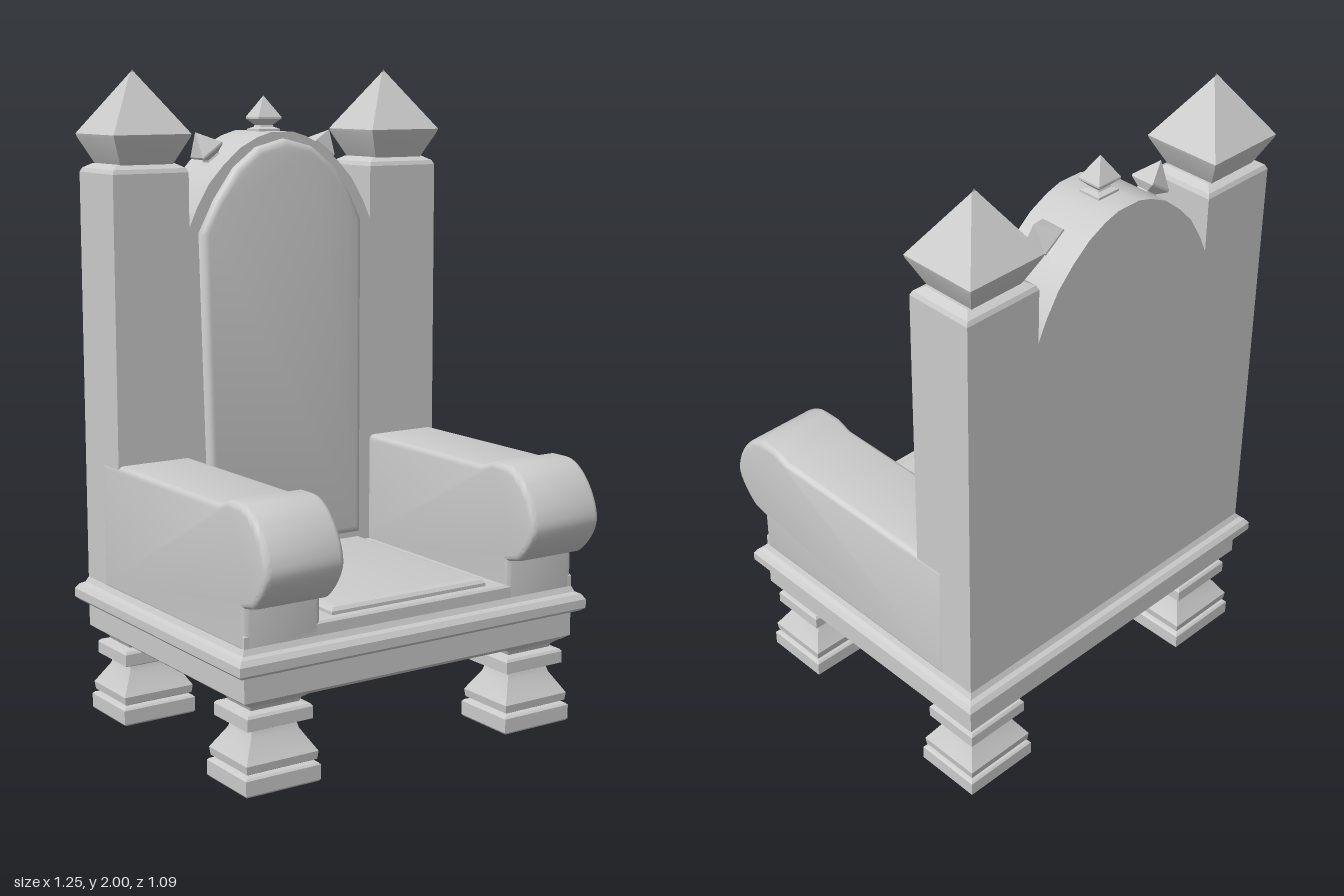
import * as THREE from 'three';
import { toCreasedNormals } from 'three/addons/utils/BufferGeometryUtils.js';

const material = new THREE.MeshStandardMaterial({ color: 0xcccccc });

function add(parent, name, geometry, x = 0, y = 0, z = 0) {
  const mesh = new THREE.Mesh(geometry, material);
  mesh.name = name;
  mesh.position.set(x, y, z);
  parent.add(mesh);
  return mesh;
}

// Rectangular moulding: rows of [inset or outset, height] around a half width and half depth, closed at both ends
function moulding(hx, hz, rows) {
  const closed = [[-9, rows[0][1]], ...rows, [-9, rows.at(-1)[1]]];
  const geo = new THREE.LatheGeometry(closed.map(([, y]) => new THREE.Vector2(1, y)), 4, Math.PI / 4);
  const pos = geo.attributes.position;
  for (let i = 0; i < pos.count; i++) {
    const o = closed[i % closed.length][0];
    pos.setX(i, Math.sign(pos.getX(i)) * Math.max(0, hx + o));
    pos.setZ(i, Math.sign(pos.getZ(i)) * Math.max(0, hz + o));
  }
  return toCreasedNormals(geo, 0.3);
}

// Outline extruded from z = 0 to z = depth, with bevels kept inside the outline
function slab(shape, depth, bevel = 0, segments = 2) {
  const geo = new THREE.ExtrudeGeometry(shape, {
    depth: depth - 2 * bevel, bevelEnabled: bevel > 0, bevelThickness: bevel,
    bevelSize: bevel, bevelOffset: -bevel, bevelSegments: segments, curveSegments: 12,
  });
  geo.translate(0, 0, bevel);
  return toCreasedNormals(geo, 0.6);
}

const shapeOf = (points) => new THREE.Shape(points.map(([x, y]) => new THREE.Vector2(x, y)));

export function createModel() {
  const throne = new THREE.Group();
  throne.name = 'throne';

  // Seat base with a raised trim running round it
  add(throne, 'seatBase', moulding(0.59, 0.467, [
    [-0.02, 0.26], [0, 0.275], [0, 0.35], [0.022, 0.355], [0.033, 0.365], [0.033, 0.392],
    [0.022, 0.408], [0.008, 0.415], [0, 0.432], [0, 0.465], [-0.006, 0.472],
  ]), 0, 0, -0.043);

  // Cushion
  add(throne, 'cushion', moulding(0.278, 0.335, [
    [0, 0.46], [0, 0.482], [-0.008, 0.492], [-0.025, 0.497],
  ]), 0, 0, 0.058);

  // Turned-out square legs
  const legGeo = moulding(0.125, 0.108, [
    [-0.005, 0], [0, 0.006], [0, 0.05], [-0.006, 0.056], [-0.02, 0.06], [-0.008, 0.066],
    [-0.005, 0.09], [-0.045, 0.155], [-0.05, 0.172], [-0.03, 0.18], [-0.016, 0.186],
    [-0.016, 0.222], [-0.022, 0.23], [-0.045, 0.235], [-0.04, 0.247], [-0.02, 0.262],
  ]);
  for (const x of [-0.462, 0.462]) {
    add(throne, 'frontLeg', legGeo, x, 0, 0.317);
    add(throne, 'backLeg', legGeo, x, 0, -0.4);
  }

  // Back posts and their pyramid finials
  const postGeo = moulding(0.128, 0.108, [[0, 0.45], [0, 1.695], [-0.006, 1.708], [-0.03, 1.722]]);
  const finialGeo = moulding(0.131, 0.124, [
    [-0.045, 1.715], [-0.038, 1.728], [-0.003, 1.8], [0, 1.81], [-0.124, 1.992], [-0.131, 2],
  ]);
  for (const x of [-0.462, 0.462]) {
    add(throne, 'backPost', postGeo, x, 0, -0.402);
    add(throne, 'postFinial', finialGeo, x, 0, -0.402);
  }

  // Arched backrest between the posts
  const arch = [[0.34, 1.515], [0.305, 1.59], [0.262, 1.66], [0.21, 1.715], [0.15, 1.765], [0.09, 1.795], [0.04, 1.81]];
  const mirrored = (points) => [...points, ...points.map(([x, y]) => [-x, y]).reverse()];
  add(throne, 'backrest', slab(shapeOf(mirrored([[0.34, 0.45], ...arch])), 0.216), 0, 0, -0.51);

  // Raised panel on the backrest, its right edge leaning outward slightly
  const panel = [
    [0.283, 0.505], [0.285, 1.53], [0.24, 1.62], [0.18, 1.705], [0.1, 1.765], [0, 1.79],
    [-0.1, 1.765], [-0.18, 1.705], [-0.25, 1.61], [-0.303, 1.51], [-0.278, 0.505],
  ];
  add(throne, 'backPanel', slab(shapeOf(panel), 0.065, 0.022, 3), 0, 0, -0.33);

  // Small spikes along the arch
  const spikeGeo = moulding(0.042, 0.038, [
    [-0.003, -0.02], [-0.003, 0.014], [-0.018, 0.02], [-0.02, 0.026], [0, 0.045], [0, 0.051], [-0.042, 0.117],
  ]);
  for (const side of [-1, 0, 1]) {
    const spike = add(throne, 'archSpike', spikeGeo, side * 0.18, side ? 1.715 : 1.803, -0.402);
    spike.rotation.z = -side * 0.62;
  }

  // Armrests: side profile in depth and height, ending in a rolled front
  const armShape = new THREE.Shape();
  armShape.moveTo(-0.4, 0.42);
  armShape.lineTo(0.424, 0.42);
  armShape.lineTo(0.424, 0.545);
  armShape.lineTo(0.47, 0.555);
  armShape.bezierCurveTo(0.505, 0.58, 0.545, 0.63, 0.545, 0.67);
  armShape.bezierCurveTo(0.545, 0.72, 0.485, 0.837, 0.4, 0.838);
  armShape.lineTo(0.345, 0.838);
  armShape.lineTo(0.29, 0.82);
  armShape.lineTo(-0.4, 0.82);
  const armGeo = slab(armShape, 0.258, 0.018, 3);
  armGeo.translate(0, 0, -0.129);
  armGeo.rotateY(-Math.PI / 2);
  for (const x of [-0.463, 0.463]) add(throne, 'armrest', armGeo, x);

  return throne;
}
